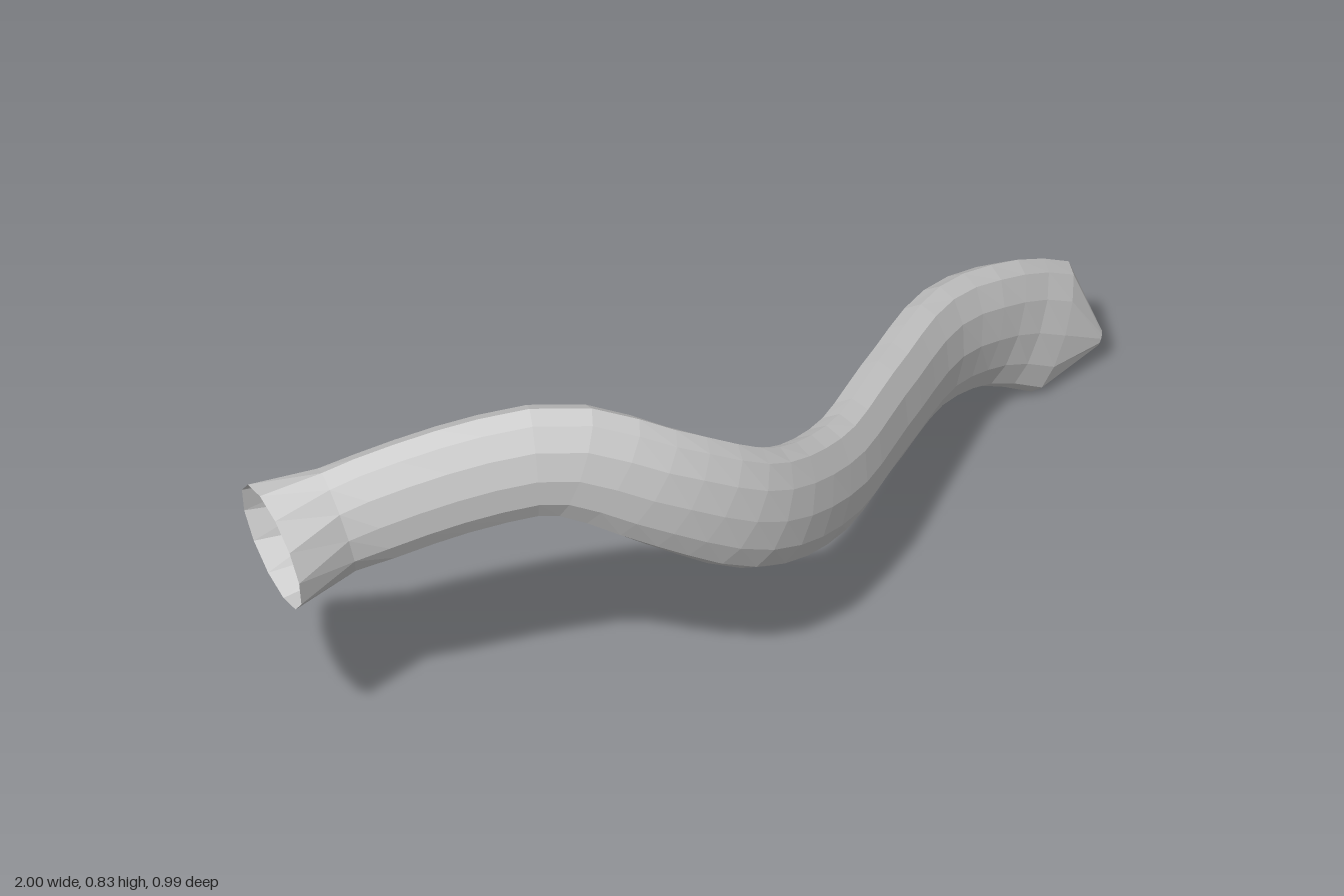
import * as THREE from 'three';

const SIDES = 12;
const v = (x, y, z) => new THREE.Vector3(x, y, z);

// Oval ring of points around a centre, square to the tangent
function ring(centre, tangent, upHint, halfHeight, halfWidth) {
  const side = tangent.clone().cross(upHint).normalize();
  const up = side.clone().cross(tangent).normalize();
  return Array.from({ length: SIDES }, (_, j) => {
    const a = (j / SIDES) * Math.PI * 2;
    return centre.clone()
      .addScaledVector(up, Math.cos(a) * halfHeight)
      .addScaledVector(side, Math.sin(a) * halfWidth);
  });
}

// Skin a list of rings
function loft(name, rings, material, closeEnd = false) {
  const index = [];
  for (let i = 0; i < rings.length - 1; i++) {
    for (let j = 0; j < SIDES; j++) {
      const k = (j + 1) % SIDES;
      const a = i * SIDES + j, b = i * SIDES + k;
      index.push(a, b, b + SIDES, a, b + SIDES, a + SIDES);
    }
  }
  if (closeEnd) {
    const s = (rings.length - 1) * SIDES;
    for (let j = 1; j < SIDES - 1; j++) index.push(s, s + j, s + j + 1);
  }
  const geometry = new THREE.BufferGeometry().setFromPoints(rings.flat());
  geometry.setIndex(index);
  geometry.computeVertexNormals();
  const mesh = new THREE.Mesh(geometry, material);
  mesh.name = name;
  return mesh;
}

export function createModel() {
  const group = new THREE.Group();
  group.name = 'curvedTube';
  const material = new THREE.MeshStandardMaterial({
    color: 0xcccccc, flatShading: true, side: THREE.DoubleSide,
  });

  // Centre line of the S-shaped body
  const path = new THREE.CatmullRomCurve3([
    v(-0.84, 0.6, 0.3), v(-0.6, 0.68, 0.355), v(-0.42, 0.703, 0.395),
    v(-0.2, 0.59, 0.415), v(0, 0.46, 0.365), v(0.2, 0.358, 0.2),
    v(0.4, 0.312, -0.035), v(0.6, 0.268, -0.26), v(0.78, 0.19, -0.385),
    v(0.895, 0.118, -0.432),
  ]);
  const startDir = v(0.97, 0.25, 0.03).normalize();
  const endDir = v(0.9, -0.42, 0).normalize();
  const endUp = v(0.11, 0.235, -0.085).normalize();
  const worldUp = v(0, 1, 0);

  // Body: oval section, slightly slimmer towards the closed end
  const STEPS = 28;
  const body = [];
  for (let i = 0; i <= STEPS; i++) {
    const t = i / STEPS;
    const blend = THREE.MathUtils.smoothstep(t, 0.85, 1);
    let dir = path.getTangentAt(t).lerp(endDir, blend).normalize();
    if (i === 0) dir = startDir;
    const up = worldUp.clone().lerp(endUp, blend);
    body.push(ring(path.getPointAt(t), dir, up,
      THREE.MathUtils.lerp(0.122, 0.132, t), THREE.MathUtils.lerp(0.074, 0.064, t)));
  }
  group.add(loft('body', body, material));

  // Open end: flares from the oval to a round mouth
  const mouth = ring(v(-0.974, 0.57, 0.302), v(0.98, 0.19, -0.06).normalize(), worldUp, 0.131, 0.131);
  group.add(loft('flaredMouth', [mouth, body[0]], material));

  // Closed end: blunt cone with a tiny flat tip
  const tip = ring(v(0.992, 0.072, -0.425), endDir, endUp, 0.017, 0.01);
  group.add(loft('endCap', [body[STEPS], tip], material, true));

  return group;
}
